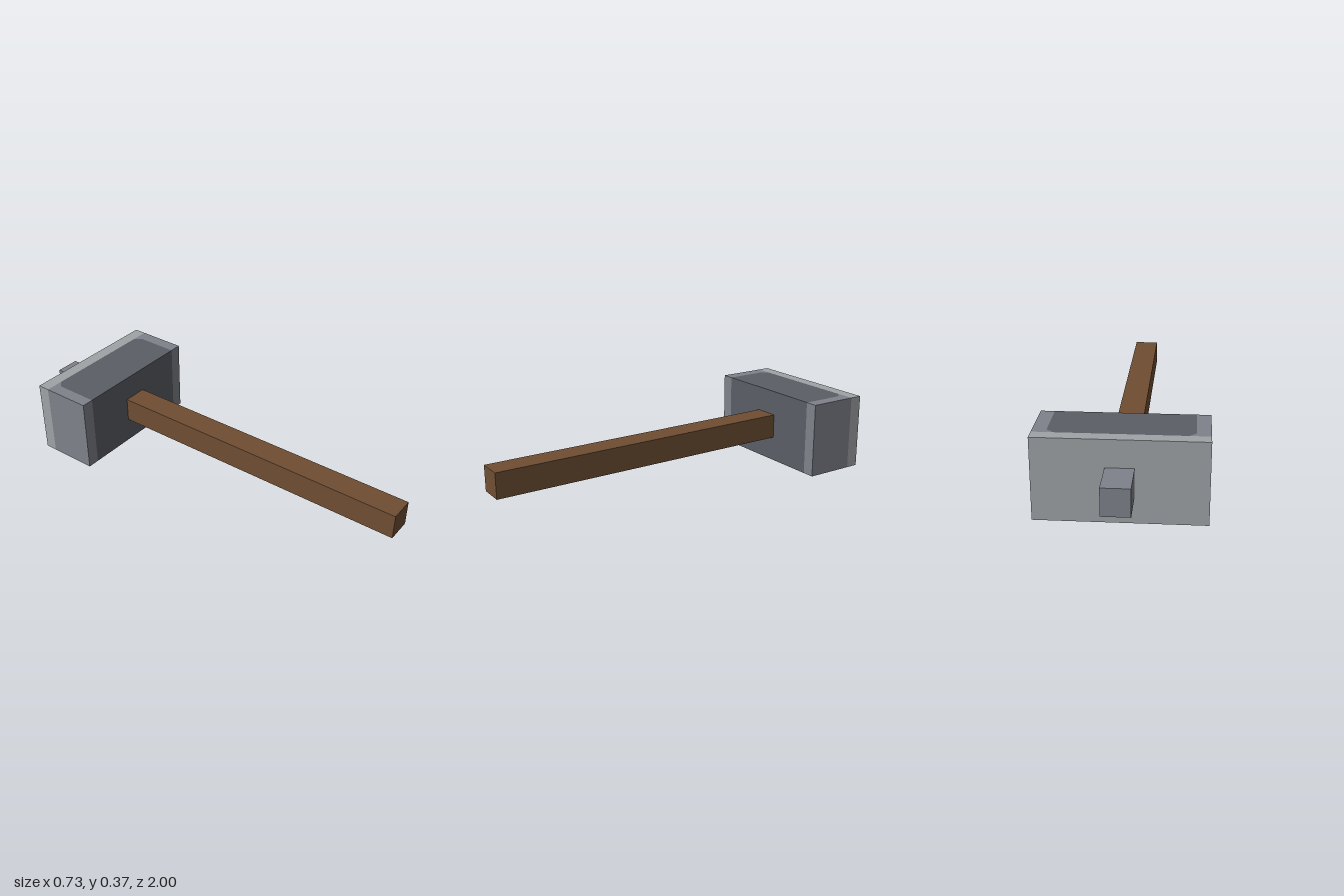
import * as THREE from 'three';

const mat = (name, color) => {
  const m = new THREE.MeshStandardMaterial({ color });
  m.name = name;
  return m;
};

export function createModel() {
  const model = new THREE.Group();
  model.name = 'hammer';
  const wood = mat('brown wood', 0x6f4e33);
  const dark = mat('dark iron', 0x5b5e66);
  const mid = mat('grey iron', 0x7f828a);
  const light = mat('light iron', 0x9fa3a7);

  const W = 0.363, H = 0.365;                          // head half width, height
  const front = -0.515, seam = -0.755, back = -0.815;  // head depths in z
  const inner = 0.303, cut = 0.03;                     // dark core half width, corner cut

  const add = (name, geometry, material) => {
    const mesh = new THREE.Mesh(geometry, material);
    mesh.name = name;
    model.add(mesh);
  };
  const box = (name, w, y0, y1, z0, z1, material) => {
    const g = new THREE.BoxGeometry(w, y1 - y0, z1 - z0);
    g.translate(0, (y0 + y1) / 2, (z0 + z1) / 2);
    add(name, g, material);
  };
  // Plan outline given as [x, z], raised to the full height of the head
  const prism = (name, plan, material) => {
    const shape = new THREE.Shape(plan.map(([x, z]) => new THREE.Vector2(x, -z)));
    const g = new THREE.ExtrudeGeometry(shape, { depth: H, bevelEnabled: false });
    add(name, g.rotateX(-Math.PI / 2), material);
  };

  // Square handle and the stub behind the head
  box('handle', 0.121, 0.122, 0.243, front, 1, wood);
  box('handleStub', 0.121, 0.122, 0.243, -1, back, mid);

  // Head: dark core, grey rim fitted round it, light back slab
  const core = [
    [-inner, front], [inner, front], [inner, seam + cut],
    [inner - cut, seam], [cut - inner, seam], [-inner, seam + cut],
  ];
  prism('headCore', core, dark);
  for (const s of [-1, 1]) {
    prism(s > 0 ? 'leftHeadRim' : 'rightHeadRim', [
      [s * inner, front], [s * W, front], [s * W, seam],
      [s * (inner - cut), seam], [s * inner, seam + cut],
    ], mid);
  }
  box('headBack', W * 2, 0, H, back, seam, light);

  return model;
}
